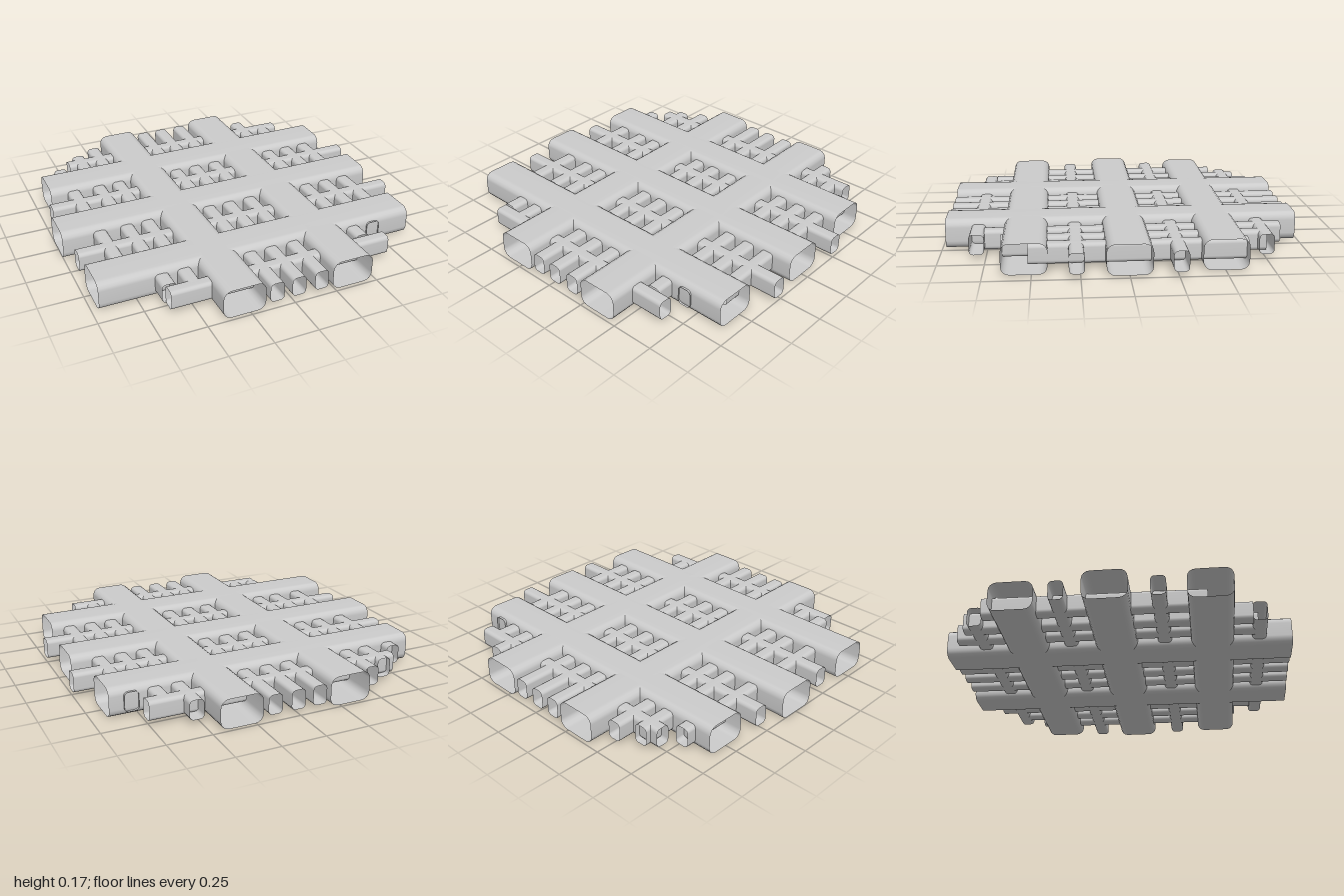
import * as THREE from 'three';

const material = new THREE.MeshStandardMaterial({ color: 0xcccccc, side: THREE.DoubleSide });
const MID = 0.0825; // height of every bar's centre line
const SKEW = 0.0153; // sideways drift of the lengthwise bars per unit of z

const BIG = { w: 0.24, h: 0.165, r: 0.045 };
const SMALL = { w: 0.08, h: 0.11, r: 0.022 };

// Rounded rectangle as a counter-clockwise loop of [across, up] points
function section({ w, h, r }, steps = 4) {
  const loop = [];
  const corners = [[1, 1], [-1, 1], [-1, -1], [1, -1]];
  corners.forEach(([sx, sy], c) => {
    for (let i = 0; i <= steps; i++) {
      const a = (c + i / steps) * Math.PI / 2;
      loop.push([sx * (w / 2 - r) + r * Math.cos(a), sy * (h / 2 - r) + r * Math.sin(a)]);
    }
  });
  return loop;
}

// Open-ended hollow bar along z, from z0 to z1, leaning by the skew
function tube(size, x, z0, z1, skew) {
  const loop = section(size), n = loop.length;
  const pos = [], idx = [];
  for (const z of [z0, z1]) {
    for (const [u, v] of loop) pos.push(x + u + skew * z, MID + v, z);
  }
  for (let i = 0; i < n; i++) {
    const j = (i + 1) % n;
    idx.push(i, j, n + i, j, n + j, n + i);
  }
  const g = new THREE.BufferGeometry();
  g.setAttribute('position', new THREE.Float32BufferAttribute(pos, 3));
  g.setIndex(idx);
  g.computeVertexNormals();
  return g;
}

export function createModel() {
  const root = new THREE.Group();
  root.name = 'wovenLattice';

  const addSet = (name, size, bars, crosswise) => {
    const set = new THREE.Group();
    set.name = name + 's';
    bars.forEach(([at, from, to], i) => {
      // Crosswise bars are made along z, then turned a quarter so z becomes x
      const g = crosswise ? tube(size, -at, from, to, 0).rotateY(Math.PI / 2)
        : tube(size, at, from, to, SKEW);
      const mesh = new THREE.Mesh(g, material);
      mesh.name = name + (i + 1);
      set.add(mesh);
    });
    root.add(set);
  };

  // Wide bars: [position, start, end]
  addSet('wideLengthwiseBar', BIG, [
    [-0.298, -0.98, 0.98],
    [0.342, -0.98, 0.98],
  ], false);
  addSet('wideCrossBar', BIG, [
    [-0.505, -0.93, 0.912],
    [-0.002, -1, 0.96],
    [0.537, -0.963, 0.918],
  ], true);

  // Narrow bars, trimmed to the round outline
  addSet('narrowLengthwiseBar', SMALL, [
    [-0.782, -0.685, 0.52],
    [-0.623, -0.822, 0.76],
    [-0.497, -0.89, 0.79],
    [-0.111, -0.98, 0.98],
    [0.017, -0.98, 0.98],
    [0.152, -0.98, 0.98],
    [0.539, -0.866, 0.76],
    [0.67, -0.76, 0.665],
    [0.8, -0.636, 0.52],
  ], false);
  addSet('narrowCrossBar', SMALL, [
    [-0.75, -0.722, 0.756],
    [-0.26, -0.963, 1],
    [0.27, -0.963, 1],
    [0.797, -0.633, 0.671],
  ], true);

  return root;
}
